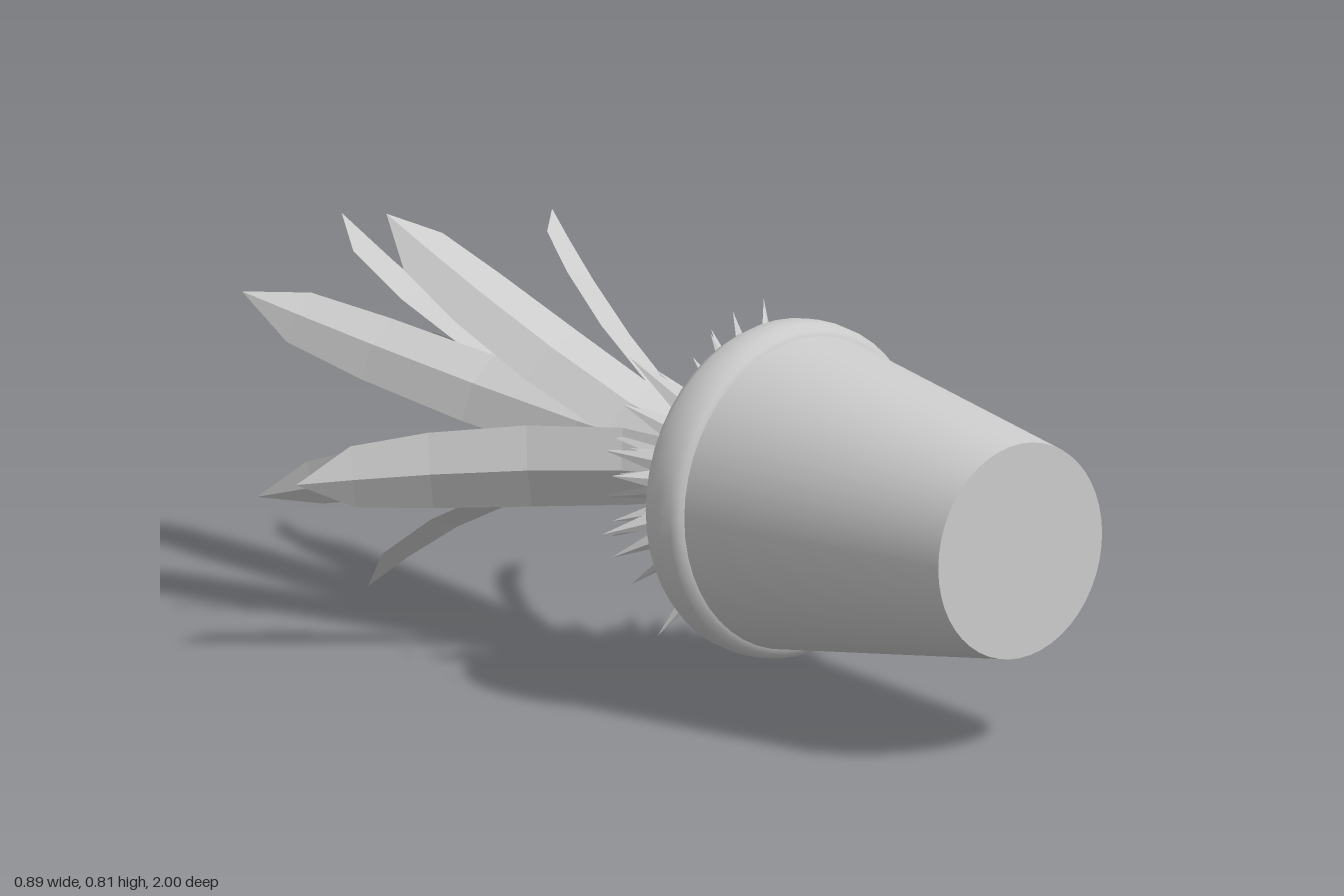
import * as THREE from 'three';

const solid = new THREE.MeshStandardMaterial({ color: 0xcccccc });
const leafy = new THREE.MeshStandardMaterial({ color: 0xcccccc, flatShading: true, side: THREE.DoubleSide });

// Surface of revolution from [radius, height] pairs
function turned(name, pts) {
  const mesh = new THREE.Mesh(
    new THREE.LatheGeometry(pts.map(p => new THREE.Vector2(p[0], p[1])), 48), solid);
  mesh.name = name;
  return mesh;
}

// Folded leaf with a keel: it rises from (r0, y0) to (r1, y1) in the plane at angle a,
// bending outward by the given power. profile holds [t, relative width] pairs.
function leaf(name, a, r0, y0, r1, y1, bend, halfWidth, profile) {
  const out = new THREE.Vector3(Math.cos(a), 0, Math.sin(a));
  const side = new THREE.Vector3(-Math.sin(a), 0, Math.cos(a));
  const up = new THREE.Vector3(0, 1, 0);
  const centre = t => out.clone().multiplyScalar(r0 + (r1 - r0) * Math.pow(t, bend))
    .addScaledVector(up, y0 + (y1 - y0) * t);
  const pos = [], index = [];
  profile.forEach(([t, w], i) => {
    const c = centre(t);
    const dir = centre(Math.min(t + 0.05, 1)).sub(centre(Math.max(t - 0.05, 0))).normalize();
    const inward = side.clone().cross(dir).normalize();
    if (inward.dot(out) > 0) inward.negate();
    for (const s of [-1, 0, 1]) {
      const p = c.clone().addScaledVector(side, s * w * halfWidth);
      if (s) p.addScaledVector(inward, 0.35 * w * halfWidth);
      pos.push(p.x, p.y, p.z);
    }
    if (i) for (const k of [0, 1]) {
      const b = i * 3 + k, d = b - 3;
      index.push(d, d + 1, b + 1, d, b + 1, b);
    }
  });
  const geo = new THREE.BufferGeometry();
  geo.setAttribute('position', new THREE.Float32BufferAttribute(pos, 3));
  geo.setIndex(index);
  geo.computeVertexNormals();
  const mesh = new THREE.Mesh(geo, leafy);
  mesh.name = name;
  return mesh;
}

export function createModel() {
  const model = new THREE.Group();
  model.name = 'pottedPlant';

  // The plant is built upright about its own axis, then laid on its side
  const plant = new THREE.Group();
  plant.name = 'plant';
  plant.rotation.x = -Math.PI / 2;
  plant.position.set(0.083, 0.402, 0);
  model.add(plant);

  // Pot
  plant.add(turned('potBase', [[0, -1], [0.207, -1]]));
  plant.add(turned('potWall', [[0.207, -1], [0.3, -0.385]]));
  plant.add(turned('potRim', [
    [0.295, -0.392], [0.31, -0.388], [0.32, -0.372], [0.323, -0.345], [0.32, -0.315],
    [0.31, -0.295], [0.293, -0.285], [0.275, -0.284], [0.258, -0.29], [0.248, -0.302], [0.243, -0.32], [0.238, -0.38]]));
  plant.add(turned('soil', [[0.238, -0.375], [0, -0.36]]));

  // Long leaves: tip x, tip height, tip z, bend power, half width
  const longProfile = [[0, 0.35], [0.2, 0.65], [0.4, 0.95], [0.6, 1], [0.78, 0.93], [0.91, 0.75], [1, 0]];
  const longLeaves = [
    [0.09, 1.0, 0.27, 2.0, 0.07],
    [0.26, 0.98, -0.01, 2.0, 0.07],
    [-0.27, 0.88, 0.2, 1.9, 0.07],
    [-0.35, 0.75, -0.16, 2.0, 0.065],
    [-0.015, 0.81, -0.4, 2.2, 0.065],
    [0.27, 0.61, 0.32, 1.4, 0.065],
    [0.36, 0.54, -0.14, 1.9, 0.065],
    [-0.23, 0.52, 0.41, 1.6, 0.075],
    [-0.53, 0.44, -0.05, 1.9, 0.08],
  ];
  const crown = new THREE.Group();
  crown.name = 'longLeaves';
  for (const [x, y, z, bend, w] of longLeaves)
    crown.add(leaf('longLeaf', Math.atan2(z, x), 0.02, -0.3, Math.hypot(x, z), y, bend, w, longProfile));
  plant.add(crown);

  // Rosette of short spiky leaves: count, base radius, tip radius, tip height, half width
  const shortProfile = [[0, 0.6], [0.35, 1], [0.7, 0.6], [1, 0]];
  const rings = [
    [17, 0.07, 0.31, -0.17, 0.034],
    [16, 0.06, 0.24, -0.11, 0.034],
    [13, 0.04, 0.17, -0.05, 0.032],
    [9, 0.02, 0.11, 0.04, 0.03],
  ];
  const rosette = new THREE.Group();
  rosette.name = 'shortLeaves';
  rings.forEach(([n, r0, r1, y1, w], ring) => {
    for (let i = 0; i < n; i++) {
      const vary = Math.sin(i * 2.4 + ring * 1.7);
      const a = (i + ring * 0.37 + vary * 0.2) / n * Math.PI * 2;
      rosette.add(leaf('shortLeaf', a, r0, -0.35, r1 + vary * 0.03, y1 + Math.cos(i * 1.9) * 0.04, 1.3, w, shortProfile));
    }
  });
  plant.add(rosette);
  return model;
}
